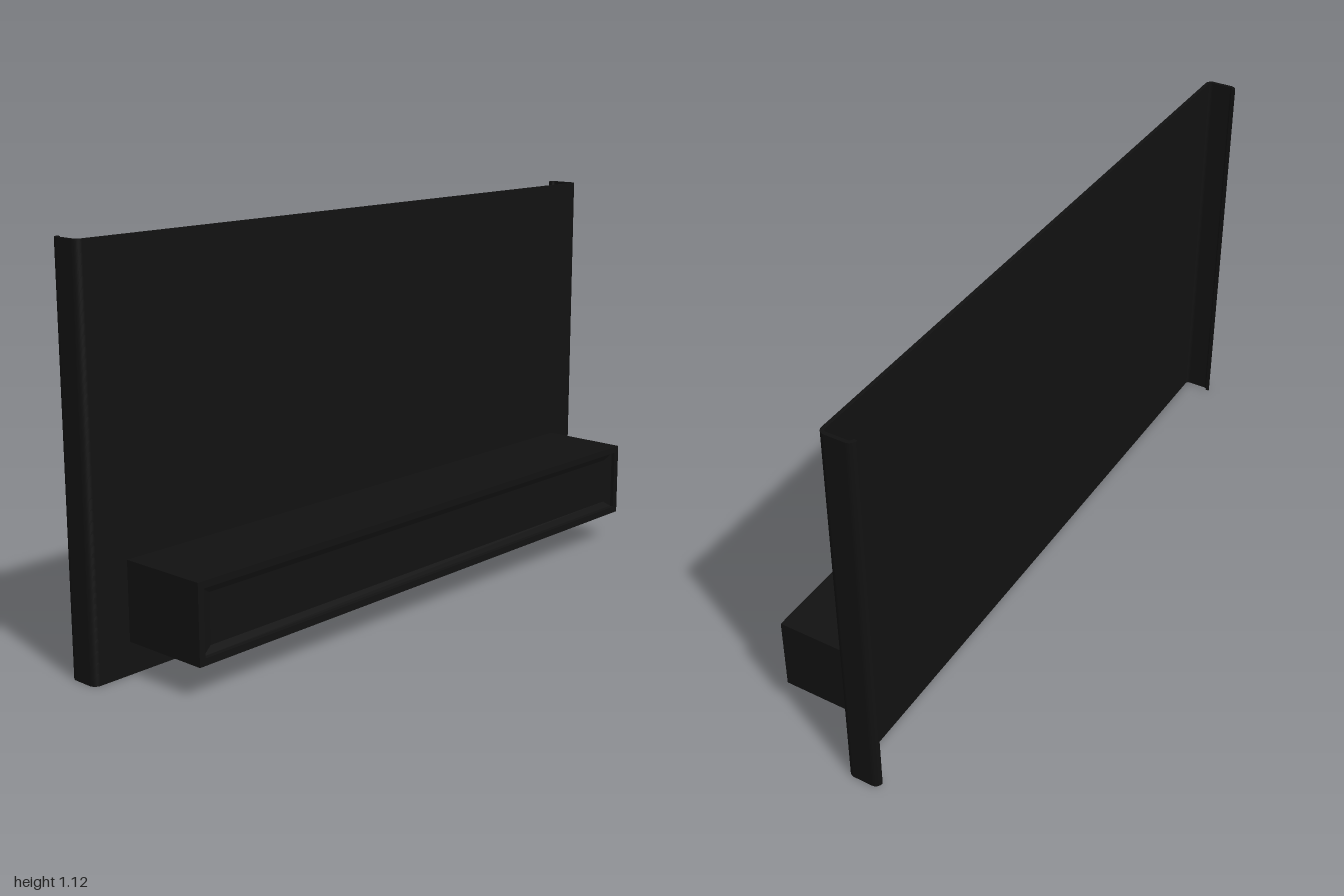
import * as THREE from 'three';

const material = new THREE.MeshStandardMaterial({ color: 0x111111 });

// Closed solid through rectangular loops [halfWidth, halfHeight, z], from back to front and into the recess
function loftRectangles(loops) {
  const pos = [];
  const corners = ([w, h, z]) => [[-w, -h, z], [w, -h, z], [w, h, z], [-w, h, z]];
  const quad = (a, b, c, d) => pos.push(...a, ...b, ...c, ...a, ...c, ...d);
  for (let i = 0; i < loops.length - 1; i++) {
    const p = corners(loops[i]), q = corners(loops[i + 1]);
    for (let k = 0; k < 4; k++) {
      const n = (k + 1) % 4;
      quad(p[k], p[n], q[n], q[k]);
    }
  }
  const back = corners(loops[0]), front = corners(loops[loops.length - 1]);
  quad(back[3], back[2], back[1], back[0]);
  quad(...front);
  const geometry = new THREE.BufferGeometry();
  geometry.setAttribute('position', new THREE.Float32BufferAttribute(pos, 3));
  geometry.computeVertexNormals();
  return geometry;
}

// Bent sheet: flat front, rounded corners, side flanges and small inward lips at the back
function backPanelGeometry() {
  const front = 0.085, back = 0.18, t = 0.01, r = 0.02, c = 1 - r;
  const PI = Math.PI;
  const s = new THREE.Shape();
  s.moveTo(-c, back);
  s.absarc(-c, back - r, r, PI / 2, PI, false);
  s.absarc(-c, front + r, r, PI, PI * 1.5, false);
  s.absarc(c, front + r, r, PI * 1.5, PI * 2, false);
  s.absarc(c, back - r, r, 0, PI / 2, false);
  s.lineTo(c, back - t);
  s.absarc(c, back - r, r - t, PI / 2, 0, true);
  s.absarc(c, front + r, r - t, PI * 2, PI * 1.5, true);
  s.absarc(-c, front + r, r - t, PI * 1.5, PI, true);
  s.absarc(-c, back - r, r - t, PI, PI / 2, true);
  s.closePath();
  const geometry = new THREE.ExtrudeGeometry(s, { depth: 1.115, bevelEnabled: false, curveSegments: 6 });
  return geometry.rotateX(-PI / 2);
}

export function createModel() {
  const model = new THREE.Group();
  model.name = 'wallPanelWithShelfBox';

  const panel = new THREE.Mesh(backPanelGeometry(), material);
  panel.name = 'backPanel';
  model.add(panel);

  // Long box with a framed, recessed front
  const box = new THREE.Mesh(loftRectangles([
    [0.887, 0.108, -0.081],
    [0.887, 0.108, 0.182],
    [0.868, 0.089, 0.182],
    [0.866, 0.087, 0.172],
    [0.836, 0.068, 0.165],
  ]), material);
  box.name = 'shelfBox';
  box.position.y = 0.199;
  model.add(box);

  return model;
}
